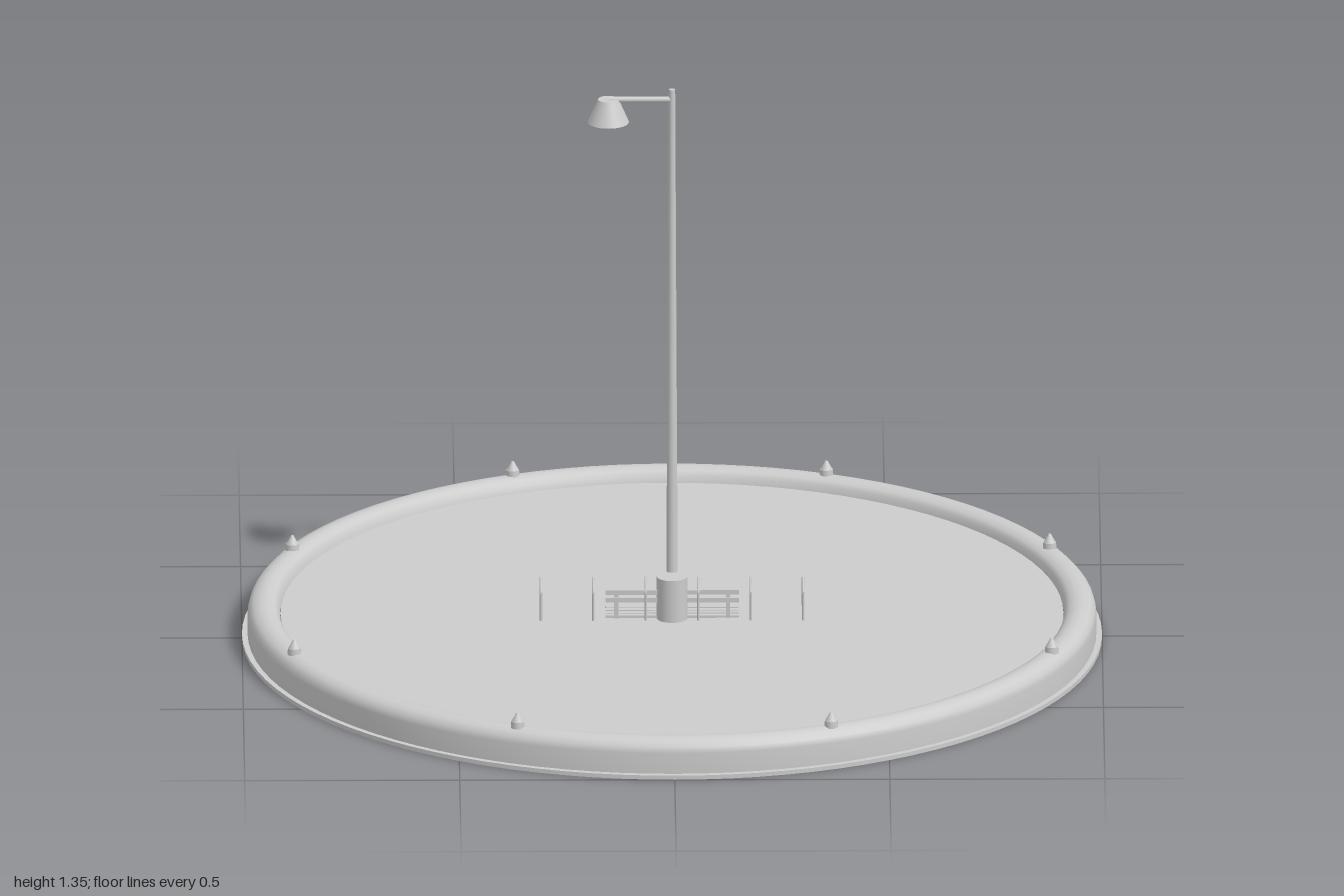
import * as THREE from 'three';

export function createModel() {
  const model = new THREE.Group();
  const grey = new THREE.MeshStandardMaterial({ color: 0xcccccc, side: THREE.DoubleSide });
  grey.name = 'pale grey';

  const FLOOR = 0.06; // height of the walking surface

  function add(name, geometry, x = 0, y = 0, z = 0, parent = model) {
    const mesh = new THREE.Mesh(geometry, grey);
    mesh.name = name;
    mesh.position.set(x, y, z);
    parent.add(mesh);
    return mesh;
  }
  const post = (name, rTop, rBottom, y0, y1, x, z, sides = 24, parent = model) =>
    add(name, new THREE.CylinderGeometry(rTop, rBottom, y1 - y0, sides), x, (y0 + y1) / 2, z, parent);
  const lathe = (points, sides = 96) =>
    new THREE.LatheGeometry(points.map(p => new THREE.Vector2(...p)), sides);

  // Round platform
  post('floor', 0.91, 0.91, 0.002, FLOOR, 0, 0, 96);

  // Hollow rounded kerb, open underneath
  add('kerb', lathe([
    [0.987, 0.008], [0.987, 0.06], [0.983, 0.074], [0.973, 0.085], [0.957, 0.091],
    [0.94, 0.091], [0.925, 0.085], [0.915, 0.075], [0.911, 0.055],
  ]));

  // Thin lip around the foot of the kerb
  add('lip', lathe([[0.985, 0], [1, 0]]));
  add('lipEdge', lathe([[1, 0], [1, 0.01]]));
  add('lipTop', lathe([[1, 0.01], [0.985, 0.01]]));

  // Eight small marker lights on the kerb
  for (let i = 0; i < 8; i++) {
    const a = (i + 0.5) * Math.PI / 4;
    const light = new THREE.Group();
    light.name = 'markerLight';
    light.position.set(0.953 * Math.cos(a), 0, 0.953 * Math.sin(a));
    post('markerBase', 0.015, 0.016, 0.088, 0.104, 0, 0, 16, light);
    post('markerCap', 0.003, 0.014, 0.104, 0.124, 0, 0, 16, light);
    model.add(light);
  }

  // Street lamp
  post('lampPole', 0.0075, 0.014, 0, 1.35, 0, 0);
  const arm = post('lampArm', 0.007, 0.007, 0, 0.15, 0, 0, 16);
  arm.rotation.z = Math.PI / 2;
  arm.position.set(-0.075, 1.325, 0);
  post('lampShade', 0.024, 0.048, 1.27, 1.326, -0.148, 0, 32);

  // Litter bin
  post('bin', 0.036, 0.036, FLOOR - 0.005, 0.163, 0, 0.036, 32);

  // Row of hoop-shaped bicycle racks
  for (let i = 0; i < 6; i++) {
    const rack = new THREE.Group();
    rack.name = 'bikeRack';
    rack.position.x = (i - 2.5) * 0.122;
    for (const side of [-1, 1]) post('rackLeg', 0.003, 0.003, 0, 0.127, 0, side * 0.053, 8, rack);
    const bar = post('rackBar', 0.003, 0.003, 0, 0.112, 0, 0, 8, rack);
    bar.rotation.x = Math.PI / 2;
    bar.position.set(0, 0.127, 0);
    model.add(rack);
  }

  // Low bench: slatted seat, two back rails and a support at each end
  const bench = new THREE.Group();
  bench.name = 'bench';
  for (let i = 0; i < 4; i++)
    add('seatSlat', new THREE.BoxGeometry(0.31, 0.006, 0.014), 0, FLOOR + 0.004, -0.025 + i * 0.019, bench);
  for (const y of [0.107, 0.126])
    add('backRail', new THREE.BoxGeometry(0.31, 0.011, 0.005), 0, y, 0.044, bench);
  for (const side of [-1, 1]) {
    add('backSupport', new THREE.BoxGeometry(0.01, 0.07, 0.005), side * 0.13, 0.096, 0.04, bench);
    add('benchLeg', new THREE.BoxGeometry(0.03, FLOOR, 0.05), side * 0.13, FLOOR / 2, 0.005, bench);
  }
  model.add(bench);

  return model;
}
